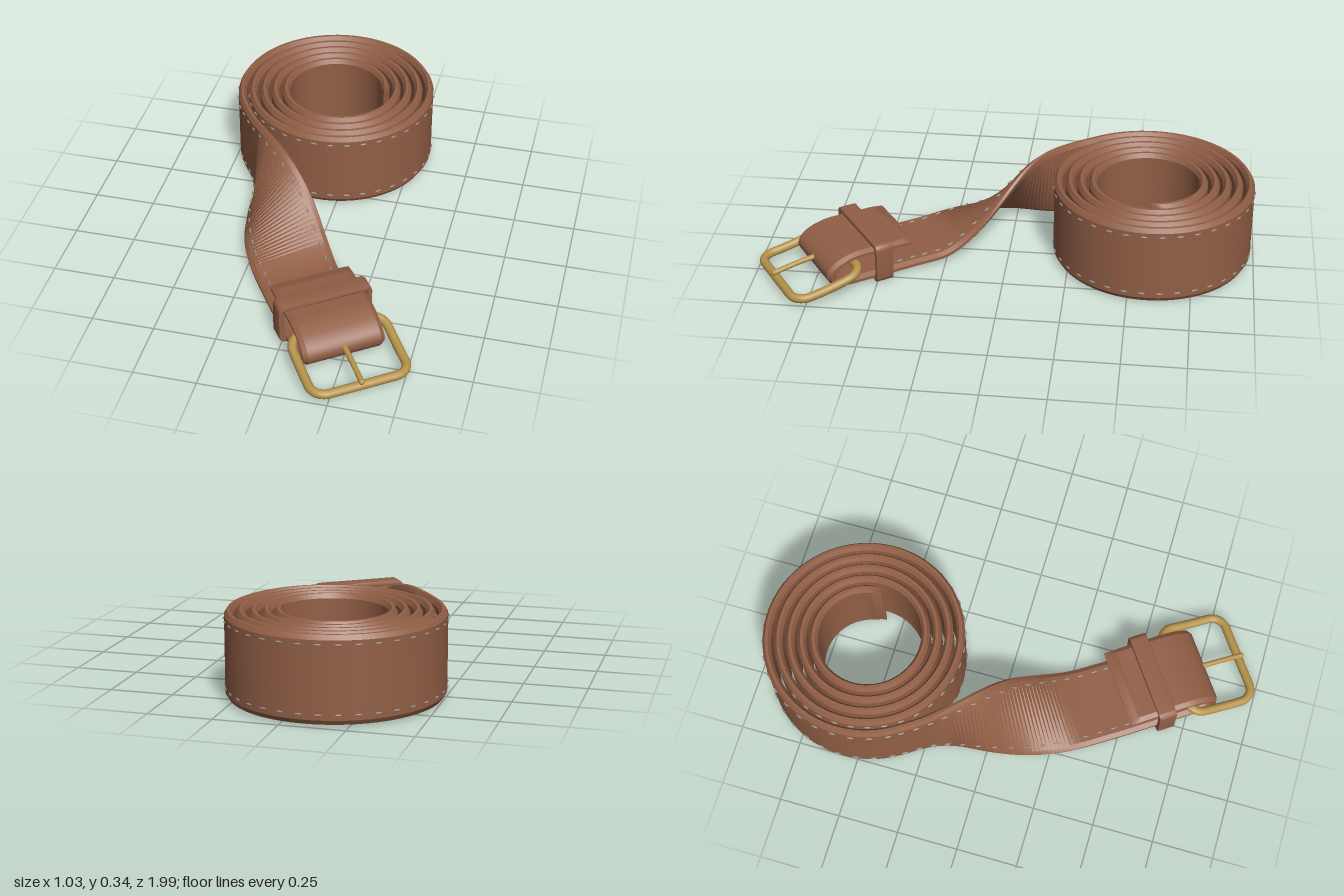
import * as THREE from 'three';
import { mergeGeometries, toCreasedNormals } from 'three/addons/utils/BufferGeometryUtils.js';

const V = (x, y, z) => new THREE.Vector3(x, y, z);
const UP = V(0, 1, 0);
const ANGLE = 0.607;                       // heading of the buckle end
const ORIGIN = V(0.13, 0, 0.575);          // keeper centre on the ground
const ACROSS = V(Math.cos(ANGLE), 0, -Math.sin(ANGLE));
const ALONG = V(Math.sin(ANGLE), 0, Math.cos(ANGLE));

// Centre line of the strap with its width direction at every step
function strapFrames() {
  const frames = [];

  // Coil, from the inner end outwards
  const turns = 4.594, steps = 330;
  for (let i = 0; i <= steps; i++) {
    const t = (i / steps) * turns, a = -t * Math.PI * 2, r = 0.1995 + 0.047 * t;
    frames.push({ p: V(-0.08 + r * Math.cos(a), 0.17, -0.57 + r * Math.sin(a)), w: UP.clone(), turn: t });
  }

  // Quarter twist from standing to lying flat
  const last = frames[steps].p;
  const ground = new THREE.CatmullRomCurve3([
    V(last.x, 0, last.z), V(-0.33, 0, -0.19), V(-0.235, 0, 0), V(-0.125, 0, 0.19), V(0.039, 0, 0.444)]);
  for (let i = 1; i <= 60; i++) {
    const p = ground.getPointAt(i / 60), tan = ground.getTangentAt(i / 60);
    const k = THREE.MathUtils.clamp((p.z + 0.28) / 0.65, 0, 1);
    const a = THREE.MathUtils.smoothstep(k, 0, 1) * Math.PI / 2;
    p.y = 0.022 + 0.148 * Math.cos(a) + 0.02 * Math.sin(Math.PI * k) ** 2;
    const side = V(tan.z, 0, -tan.x);
    frames.push({ p, w: UP.clone().multiplyScalar(Math.cos(a)).addScaledVector(side, Math.sin(a)), turn: 5 });
  }

  // Flat end folded back over the buckle bar
  const fold = new THREE.CatmullRomCurve3([
    [-0.16, 0.022], [-0.05, 0.022], [0.08, 0.022], [0.16, 0.025], [0.205, 0.043], [0.218, 0.073],
    [0.19, 0.104], [0.12, 0.13], [0.04, 0.134], [-0.06, 0.132], [-0.15, 0.13]]
    .map(([s, y]) => ORIGIN.clone().addScaledVector(ALONG, s).setY(y)));
  for (let i = 1; i <= 80; i++) {
    frames.push({ p: fold.getPointAt(i / 80), w: ACROSS.clone(), turn: i < 12 ? 6 : 7 });
  }

  // Tangents, face normals and running length
  frames.forEach((f, i) => {
    const a = frames[Math.max(i - 1, 0)].p, b = frames[Math.min(i + 1, frames.length - 1)].p;
    f.t = b.clone().sub(a).normalize();
    f.n = f.t.clone().cross(f.w).normalize();
    f.len = i ? frames[i - 1].len + f.p.distanceTo(a) : 0;
  });
  return frames;
}

// Bevelled leather section swept along the frames, thinned at both ends
function strapGeometry(frames) {
  const section = [[0.165, -0.006], [0.165, 0.006], [0.147, 0.017], [-0.147, 0.017],
    [-0.165, 0.006], [-0.165, -0.006], [-0.147, -0.017], [0.147, -0.017]];
  const n = section.length, total = frames[frames.length - 1].len, pos = [], idx = [];
  for (const f of frames) {
    const thin = Math.min(1, 0.15 + 0.85 * Math.min(f.len, total - f.len) / 0.045);
    for (const [w, h] of section) {
      pos.push(...f.p.clone().addScaledVector(f.w, w).addScaledVector(f.n, h * thin).toArray());
    }
  }
  const end = (frames.length - 1) * n;
  for (let i = 0; i < frames.length - 1; i++) {
    for (let j = 0; j < n; j++) {
      const a = i * n + j, b = i * n + (j + 1) % n;
      idx.push(a, b, b + n, a, b + n, a + n);
    }
  }
  for (let j = 1; j < n - 1; j++) idx.push(0, j + 1, j, end, end + j, end + j + 1);
  const g = new THREE.BufferGeometry();
  g.setAttribute('position', new THREE.Float32BufferAttribute(pos, 3));
  g.setIndex(idx);
  return toCreasedNormals(g, 0.5);
}

// Two rows of raised stitches on the outer face
function stitchGeometry(frames) {
  const parts = [];
  let next = 0;
  for (const f of frames) {
    if (f.turn < 3.4 || f.turn > 6 || f.len < next) continue;
    next = f.len + 0.05;
    for (const row of [-0.127, 0.13]) {
      const at = f.p.clone().addScaledVector(f.w, row).addScaledVector(f.n, 0.0175);
      const g = new THREE.SphereGeometry(1, 8, 6).scale(0.015, 0.005, 0.004);
      parts.push(g.applyMatrix4(new THREE.Matrix4().makeBasis(f.t, f.n, f.w.clone().negate()).setPosition(at)));
    }
  }
  return mergeGeometries(parts);
}

// Rounded rectangle outline, drawn on a Shape or Path
function roundRect(path, x0, y0, x1, y1, r) {
  path.moveTo(x0 + r, y0);
  path.lineTo(x1 - r, y0);
  path.absarc(x1 - r, y0 + r, r, -Math.PI / 2, 0);
  path.lineTo(x1, y1 - r);
  path.absarc(x1 - r, y1 - r, r, 0, Math.PI / 2);
  path.lineTo(x0 + r, y1);
  path.absarc(x0 + r, y1 - r, r, Math.PI / 2, Math.PI);
  path.lineTo(x0, y0 + r);
  path.absarc(x0 + r, y0 + r, r, Math.PI, Math.PI * 1.5);
  return path;
}

export function createModel() {
  const leather = new THREE.MeshStandardMaterial({ color: 0x925f46 });
  leather.name = 'brown leather';
  const brass = new THREE.MeshStandardMaterial({ color: 0xb5924a });
  brass.name = 'brass';
  const thread = new THREE.MeshStandardMaterial({ color: 0x8f8f88 });
  thread.name = 'grey thread';

  const model = new THREE.Group();
  model.name = 'rolledBelt';
  const add = (parent, name, geometry, material) => {
    const mesh = new THREE.Mesh(geometry, material);
    mesh.name = name;
    parent.add(mesh);
    return mesh;
  };

  const frames = strapFrames();
  add(model, 'strap', strapGeometry(frames), leather);
  add(model, 'stitches', stitchGeometry(frames), thread);

  // Keeper and buckle share the heading of the strap end
  const head = new THREE.Group();
  head.name = 'buckleEnd';
  head.position.copy(ORIGIN);
  head.rotation.y = ANGLE;
  model.add(head);

  // Keeper band around both layers
  const band = roundRect(new THREE.Shape(), -0.188, 0.003, 0.188, 0.167, 0.022);
  band.holes.push(roundRect(new THREE.Path(), -0.172, 0.017, 0.172, 0.152, 0.012));
  const keeper = new THREE.ExtrudeGeometry(band, {
    depth: 0.064, bevelEnabled: true, bevelThickness: 0.004, bevelSize: 0.003, bevelSegments: 2, curveSegments: 6 });
  keeper.translate(0, 0, -0.032);
  add(head, 'keeper', toCreasedNormals(keeper, 0.7), leather);

  // Bowed buckle frame, its inner side running through the fold
  const frameY = s => 0.032 + 0.055 * Math.max(0, (0.392 - s) / 0.285) ** 1.7;
  const outline = roundRect(new THREE.Shape(), -0.183, 0.107, 0.203, 0.392, 0.06);
  const points = outline.getSpacedPoints(72).slice(0, -1).map(q => V(q.x, frameY(q.y), q.y));
  add(head, 'buckleFrame', new THREE.TubeGeometry(
    new THREE.CatmullRomCurve3(points, true), 144, 0.018, 12, true), brass);

  // Prong hinged on the inner bar and resting on the outer one
  const prongPath = new THREE.CatmullRomCurve3([
    V(0, 0.09, 0.115), V(0, 0.084, 0.2), V(0, 0.074, 0.3), V(0, 0.057, 0.4)]);
  add(head, 'prong', new THREE.TubeGeometry(prongPath, 20, 0.011, 10), brass);
  add(head, 'prongTip', new THREE.SphereGeometry(0.012, 12, 8), brass).position.set(0, 0.057, 0.4);
  const hinge = add(head, 'prongHinge', new THREE.TorusGeometry(0.02, 0.009, 8, 20), brass);
  hinge.rotation.y = Math.PI / 2;
  hinge.position.set(0, 0.087, 0.107);

  return model;
}
